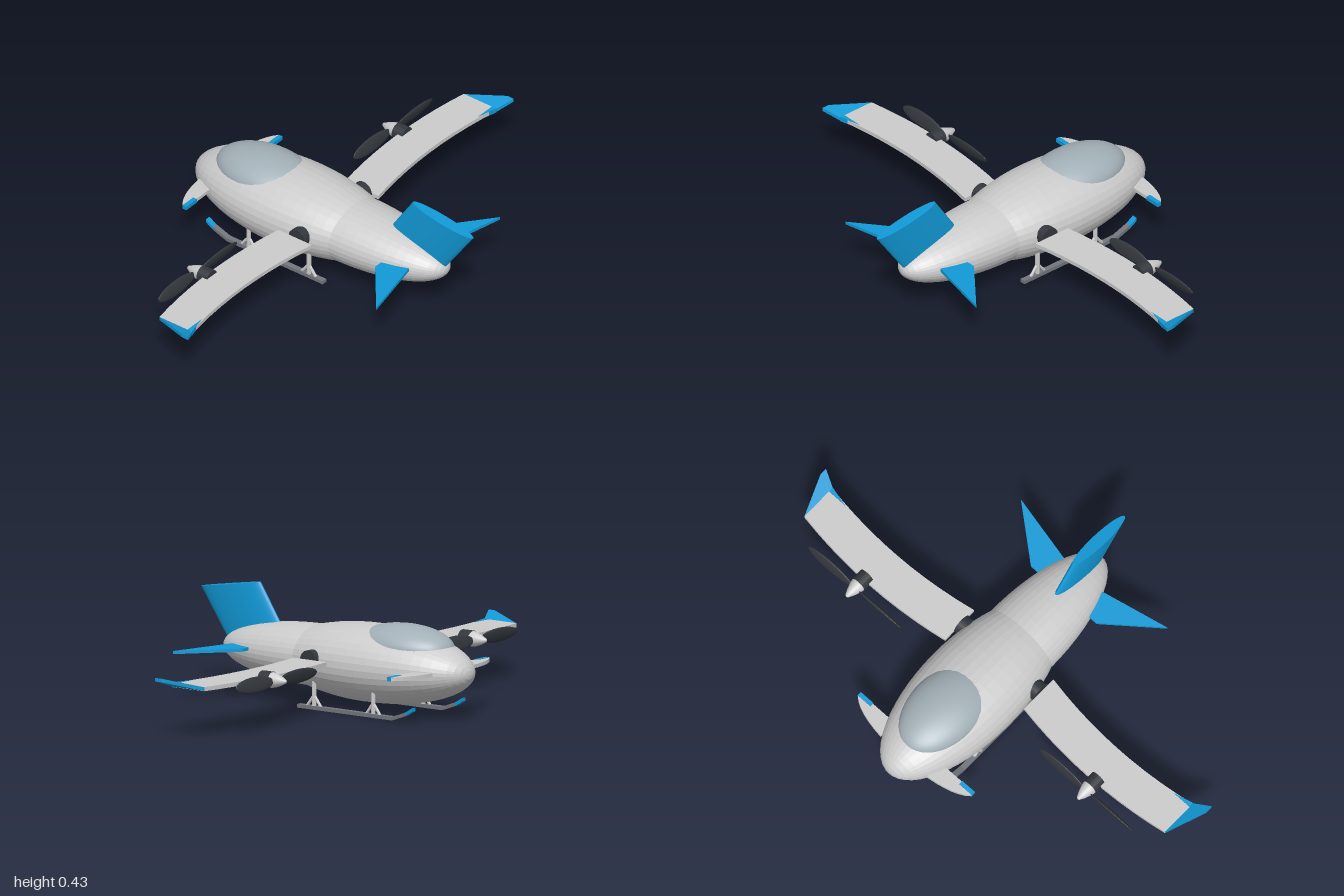
import * as THREE from 'three';

const mat = (color, flat = true) => new THREE.MeshStandardMaterial({ color, flatShading: flat });
const grey = mat(0xcccccc), blue = mat(0x1199d6), dark = mat(0x33373c);
const glass = mat(0xa3b0b7, false), steel = mat(0x72767c);

export function createModel() {
  const model = new THREE.Group();

  const add = (name, geometry, material, x = 0, y = 0, z = 0, parent = model) => {
    const mesh = new THREE.Mesh(geometry, material);
    mesh.name = name;
    mesh.position.set(x, y, z);
    parent.add(mesh);
    return mesh;
  };

  // Ellipsoid with its poles on the x axis; half keeps only the rear end
  const ellipsoid = (rx, ry, rz, half = false) =>
    new THREE.SphereGeometry(1, 36, half ? 14 : 28, 0, Math.PI * 2, 0, half ? Math.PI / 2 : Math.PI)
      .rotateZ(-Math.PI / 2).scale(rx, ry, rz);

  // Flat plate from an outline in x and z, hanging down from y = 0
  const plate = (points, side, thickness) => {
    const shape = new THREE.Shape(points.map(([x, z]) => new THREE.Vector2(x, z * side)));
    return new THREE.ExtrudeGeometry(shape, { depth: thickness, bevelEnabled: false }).rotateX(Math.PI / 2);
  };

  const curve = (a, b, c, n = 10) => new THREE.QuadraticBezierCurve(
    new THREE.Vector2(...a), new THREE.Vector2(...b), new THREE.Vector2(...c)
  ).getPoints(n).map(p => [p.x, p.y]);

  // Straight round bar between two points
  const bar = (a, b, radius) => new THREE.TubeGeometry(
    new THREE.LineCurve3(new THREE.Vector3(...a), new THREE.Vector3(...b)), 1, radius, 8);

  // Fuselage and canopy
  add('frontFuselage', ellipsoid(0.46, 0.15, 0.2), grey, -0.2, 0.18);
  add('rearFuselage', ellipsoid(0.45, 0.118, 0.159, true), grey, 0.08, 0.18);
  add('canopy', ellipsoid(0.22, 0.085, 0.14), glass, -0.34, 0.26);

  // Swept tail fin with an elliptical section
  const fin = new THREE.CylinderGeometry(1, 1, 1, 32, 1);
  const p = fin.attributes.position;
  for (let i = 0; i < p.count; i++) {
    const t = p.getY(i) + 0.5, u = (p.getX(i) + 1) / 2;
    const x0 = 0.245 + 0.12 * t, x1 = 0.525 + 0.13 * t;
    const y0 = 0.25 + 0.18 * t, y1 = 0.2 + 0.185 * t;
    p.setXYZ(i, x0 + (x1 - x0) * u, y0 + (y1 - y0) * u, p.getZ(i) * 0.025);
  }
  fin.computeVertexNormals();
  add('tailFin', fin, mat(0x1199d6, false));

  // Outlines in x and z, shared by both sides
  const wingOutline = [
    ...curve([-0.125, 0.205], [-0.19, 0.57], [-0.125, 0.935]),
    ...curve([0.03, 0.935], [-0.035, 0.57], [0.037, 0.205])
  ];
  const wingletOutline = [[-0.125, 0.935], [0.035, 1], [0.065, 1], [0.033, 0.935]];
  const canardOutline = [...curve([-0.575, 0.12], [-0.56, 0.25], [-0.515, 0.295], 6), [-0.5, 0.295], [-0.5, 0.12]];
  const tailOutline = [[0.315, 0.04], [0.315, 0.17], [0.485, 0.38], [0.41, 0.04]];

  // Skid runner profile: flat, curling up at the nose
  const runner = (x0, x1) => {
    const low = [];
    for (let i = 0; i <= 8; i++) {
      const x = x0 + (x1 - x0) * i / 8;
      low.push([x, Math.pow(Math.max(0, -0.41 - x) / 0.095, 1.5) * 0.042]);
    }
    const high = low.map(([x, y]) => [x, y + 0.014]).reverse();
    const shape = new THREE.Shape([...low, ...high].map(q => new THREE.Vector2(...q)));
    return new THREE.ExtrudeGeometry(shape, { depth: 0.022, bevelEnabled: false }).translate(0, 0, -0.011);
  };

  for (const side of [1, -1]) {
    const label = side > 0 ? 'left' : 'right';
    const half = new THREE.Group();
    half.name = label + 'Side';
    model.add(half);

    // Wing with pivot, trailing flap and upswept tip
    add('wingPivot', new THREE.CylinderGeometry(0.04, 0.04, 0.07, 24).rotateX(Math.PI / 2), dark, -0.035, 0.195, side * 0.17, half);
    add('wing', plate(wingOutline, side, 0.016), grey, 0, 0.2, 0, half);
    add('wingFlap', plate([[0.012, 0.85], [0.012, 0.935], [0.033, 0.935]], side, 0.019), blue, 0, 0.2015, 0, half);
    const tip = plate(wingletOutline, side, 0.014);
    const tp = tip.attributes.position;
    for (let i = 0; i < tp.count; i++) {
      tp.setY(i, tp.getY(i) + 0.025 * (Math.abs(tp.getZ(i)) - 0.935) / 0.065);
    }
    add('wingTip', tip, blue, 0, 0.199, 0, half);

    // Motor, spinner and two-bladed propeller
    const motor = new THREE.Group();
    motor.name = 'motor';
    motor.position.set(0, 0.19, side * 0.6);
    half.add(motor);
    add('nacelle', new THREE.CylinderGeometry(0.032, 0.032, 0.05, 20).rotateZ(Math.PI / 2), dark, -0.16, 0, 0, motor);
    const nose = [[0, 0.07], [0.007, 0.067], [0.018, 0.045], [0.027, 0.02], [0.031, 0]];
    add('spinner', new THREE.LatheGeometry(nose.map(q => new THREE.Vector2(...q)).reverse(), 20).rotateZ(Math.PI / 2),
      mat(0xcccccc, false), -0.182, 0, 0, motor);
    for (const end of [1, -1]) {
      const blade = add('propellerBlade', ellipsoid(0.008, 0.03, 0.112), dark, -0.203, 0, end * 0.13, motor);
      blade.rotation.z = end * 0.25;
    }

    // Canard with its flap, and tailplane
    add('canard', plate(canardOutline, side, 0.014), grey, 0, 0.194, 0, half);
    add('canardFlap', new THREE.BoxGeometry(0.018, 0.016, 0.065), blue, -0.506, 0.187, side * 0.263, half);
    add('tailplane', plate(tailOutline, side, 0.012), blue, 0, 0.2, 0, half);

    // Landing skid on two forked struts
    add('skidRunner', runner(-0.475, 0.055), steel, 0, 0, side * 0.15, half);
    add('skidTip', runner(-0.508, -0.475), blue, 0, 0, side * 0.15, half);
    for (const x of [-0.31, -0.02]) {
      const z = side * 0.15;
      add('strut', bar([x, 0.012, z], [x, 0.115, z], 0.009), grey, 0, 0, 0, half);
      for (const d of [-0.033, 0.033]) {
        add('strutLeg', bar([x + d, 0.012, z], [x, 0.055, z], 0.006), grey, 0, 0, 0, half);
      }
    }
  }
  return model;
}
